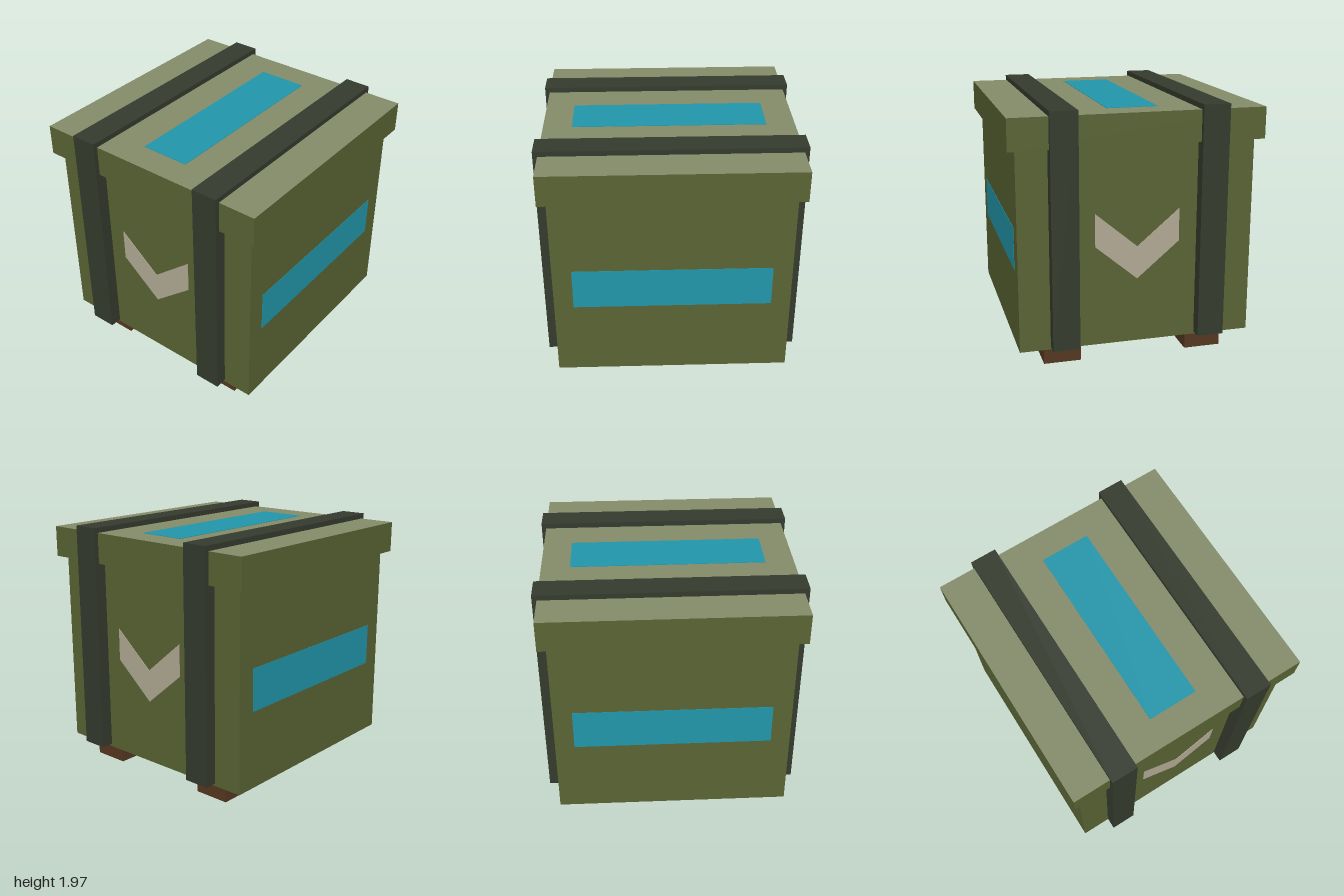
import * as THREE from 'three';

const mat = (name, color, side = THREE.FrontSide) => {
  const m = new THREE.MeshStandardMaterial({ color, side });
  m.name = name;
  return m;
};

export function createModel() {
  const crate = new THREE.Group();
  crate.name = 'crate';

  const green = mat('olive green', 0x5a6434);
  const sage = mat('pale sage', 0x858d6b);
  const dark = mat('dark strap', 0x353b2e, THREE.DoubleSide);
  const brown = mat('brown wood', 0x563821);
  const blue = mat('teal blue', 0x2297ab);
  const cream = mat('cream paint', 0xb3ab95);

  const add = (name, geometry, material, x = 0, y = 0, z = 0, parent = crate) => {
    const mesh = new THREE.Mesh(geometry, material);
    mesh.name = name;
    mesh.position.set(x, y, z);
    parent.add(mesh);
    return mesh;
  };

  // Body and overhanging lid: dark undersides, pale lid top
  // (box material order: +x, -x, +y, -y, +z, -z)
  add('body', new THREE.BoxGeometry(1.81, 1.54, 1.81),
    [green, green, green, dark, green, green], 0, 0.92, 0);
  add('lid', new THREE.BoxGeometry(1.93, 0.24, 1.93),
    [green, green, sage, dark, green, green], 0, 1.81, 0);

  // Strap outline seen from the side, hugging body and lid
  const strapSide = new THREE.Shape([
    [-1, 0.17], [-1, 1.97], [1, 1.97], [1, 0.17],
    [0.905, 0.17], [0.905, 1.92], [-0.905, 1.92], [-0.905, 0.17],
  ].map(([z, y]) => new THREE.Vector2(z, y)));

  for (const s of [-1, 1]) {
    const label = s > 0 ? 'left' : 'right';

    // Strap: hollow channel, open at its lower ends
    const strap = new THREE.Group();
    strap.name = `${label}Strap`;
    strap.position.x = s * 0.567;
    crate.add(strap);
    for (const e of [-1, 1]) {
      add('strapEdge', new THREE.ShapeGeometry(strapSide), dark, e * 0.103, 0, 0, strap)
        .rotation.y = e * Math.PI / 2;
      add('strapFace', new THREE.PlaneGeometry(0.206, 1.8), dark, 0, 1.07, e, strap)
        .rotation.y = e > 0 ? 0 : Math.PI;
    }
    add('strapTop', new THREE.PlaneGeometry(0.206, 2), dark, 0, 1.97, 0, strap)
      .rotation.x = -Math.PI / 2;

    // Wooden skid
    add(`${label}Skid`, new THREE.BoxGeometry(0.29, 0.15, 1.66), brown, s * 0.565, 0.075, 0);

    // Painted band on each side
    add(`${label}Band`, new THREE.BoxGeometry(0.006, 0.33, 1.514), blue, s * 0.905, 0.92, 0);
  }

  // Painted band on the lid
  add('lidBand', new THREE.BoxGeometry(0.39, 0.006, 1.49), blue, 0, 1.93, 0);

  // Painted chevrons on the front and back
  const chevron = new THREE.Shape([
    [-0.325, 1.185], [-0.325, 0.93], [0, 0.655],
    [0.325, 0.93], [0.325, 1.185], [0, 0.91],
  ].map(([x, y]) => new THREE.Vector2(x, y)));
  const chevronGeometry = new THREE.ExtrudeGeometry(chevron, { depth: 0.004, bevelEnabled: false });
  add('frontChevron', chevronGeometry, cream, 0, 0, 0.905);
  add('backChevron', chevronGeometry, cream, 0, 0, -0.905).rotation.y = Math.PI;

  return crate;
}
